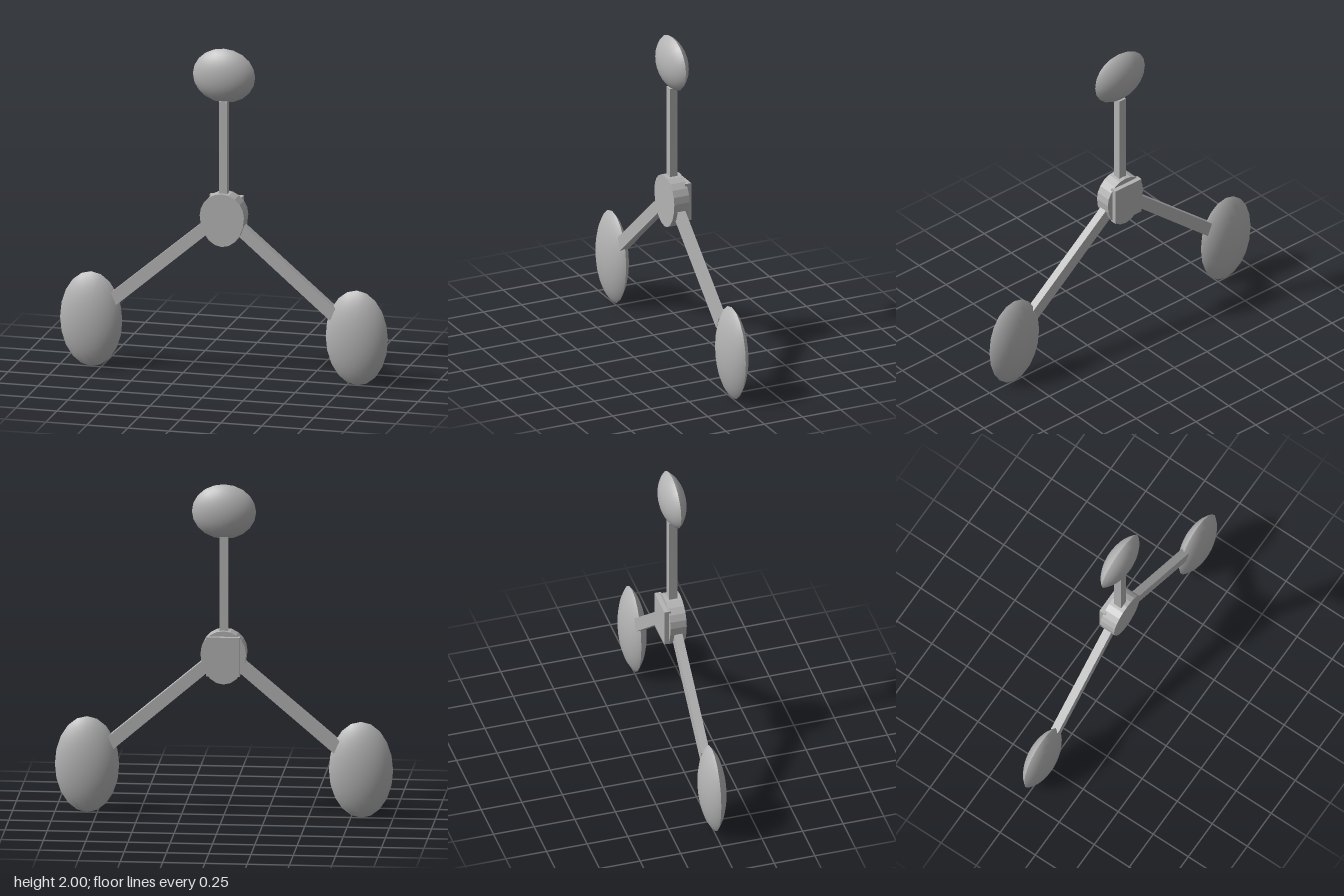
import * as THREE from 'three';

const grey = new THREE.MeshStandardMaterial({ color: 0xb4b4b4 });
grey.name = 'plain grey';

function add(parent, name, geometry, x = 0, y = 0, z = 0) {
  const mesh = new THREE.Mesh(geometry, grey);
  mesh.name = name;
  mesh.position.set(x, y, z);
  parent.add(mesh);
  return mesh;
}

// Flat plate cut from an outline in the xy plane, centred on z = 0
function plate(points, depth) {
  const shape = new THREE.Shape(points.map(([x, y]) => new THREE.Vector2(x, y)));
  return new THREE.ExtrudeGeometry(shape, { depth, bevelEnabled: false }).translate(0, 0, -depth / 2);
}

// Two domed caps meeting at a sharp rim
function lens(parent, name, x, y, rx, ry, rz) {
  const group = new THREE.Group();
  group.name = name;
  group.position.set(x, y, 0);
  const angle = THREE.MathUtils.degToRad(66);
  const s = Math.sin(angle), c = Math.cos(angle);
  for (const side of [1, -1]) {
    const cap = new THREE.SphereGeometry(1, 20, 8, 0, Math.PI * 2, 0, angle);
    cap.translate(0, -c, 0).rotateX(side * Math.PI / 2);
    cap.scale(rx / s, ry / s, rz / (1 - c));
    add(group, side > 0 ? 'frontDome' : 'backDome', cap);
  }
  parent.add(group);
}

export function createModel() {
  const model = new THREE.Group();
  model.name = 'threeArmedOrnament';

  // Egg-shaped hub with a square block behind it
  const outline = [];
  for (let i = 0; i < 20; i++) {
    const a = i / 20 * Math.PI * 2;
    const sy = Math.sin(a);
    outline.push([0.135 * Math.cos(a), 0.985 + sy * (sy > 0 ? 0.137 : 0.185)]);
  }
  add(model, 'hub', plate(outline, 0.1));
  add(model, 'backBlock', new THREE.BoxGeometry(0.2, 0.235, 0.04), 0, 0.972, -0.058);

  // Upper arm and pad
  add(model, 'upperArm', new THREE.BoxGeometry(0.05, 0.68, 0.05), 0, 1.34, 0);
  lens(model, 'upperPad', 0, 1.835, 0.19, 0.165, 0.075);

  // Slanting lower arms and tall pads, mirrored
  for (const side of [1, -1]) {
    const arm = [[0.652, 0.39], [0.684, 0.464], [0.05, 1.0], [0.02, 0.93]].map(([x, y]) => [side * x, y]);
    add(model, side > 0 ? 'leftArm' : 'rightArm', plate(arm, 0.05));
    lens(model, side > 0 ? 'leftPad' : 'rightPad', side * 0.81, 0.29, 0.19, 0.29, 0.075);
  }
  return model;
}
